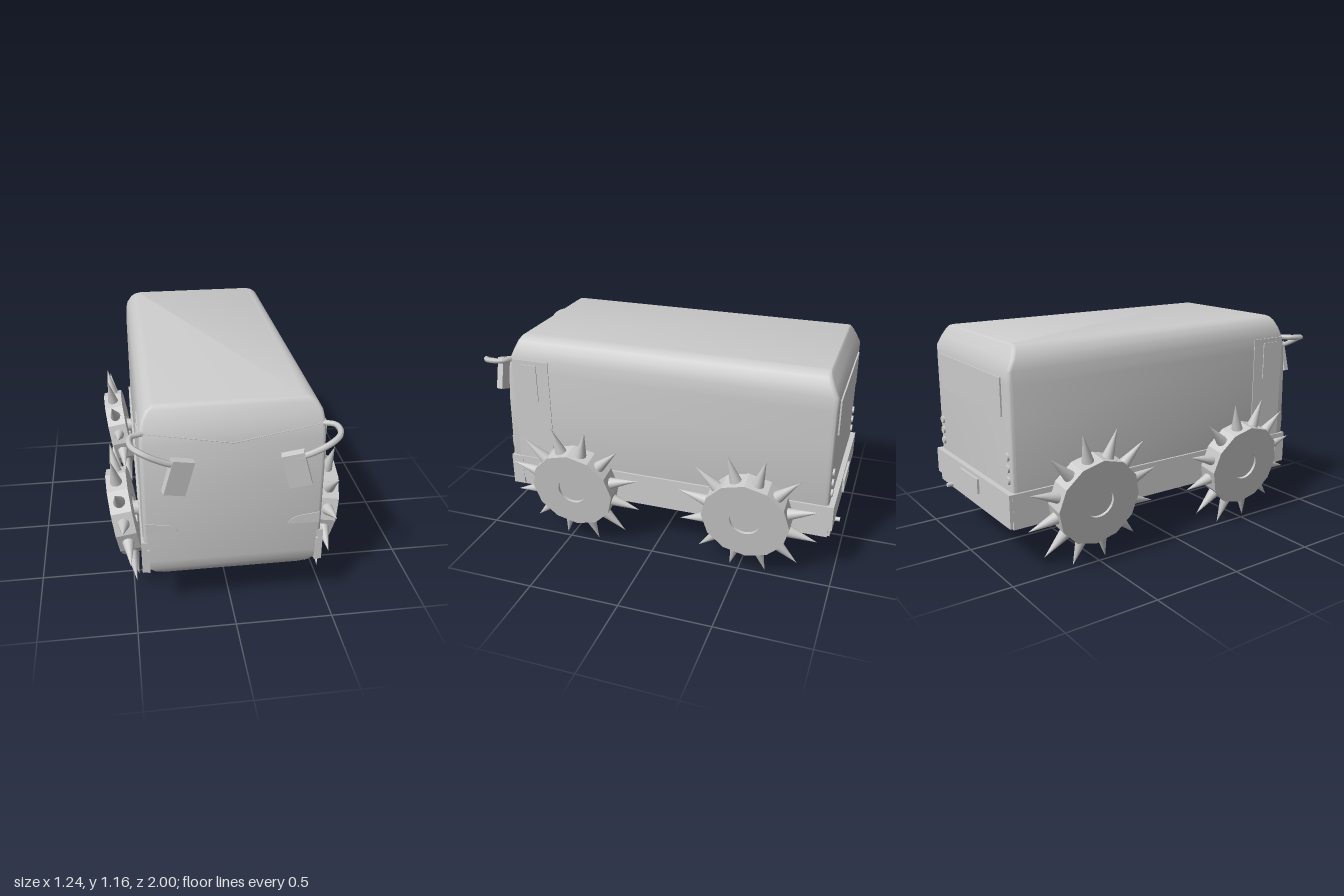
import * as THREE from 'three';
import { toCreasedNormals } from 'three/addons/utils/BufferGeometryUtils.js';

const smooth = new THREE.MeshStandardMaterial({ color: 0xcccccc });
const flat = new THREE.MeshStandardMaterial({ color: 0xcccccc, flatShading: true });

function add(parent, name, geometry, x = 0, y = 0, z = 0, material = smooth) {
  const mesh = new THREE.Mesh(geometry, material);
  mesh.name = name;
  mesh.position.set(x, y, z);
  parent.add(mesh);
  return mesh;
}

// Box given by its extents on each axis
function block(parent, name, x0, x1, y0, y1, z0, z1) {
  const g = new THREE.BoxGeometry(Math.abs(x1 - x0), y1 - y0, z1 - z0);
  return add(parent, name, g, (x0 + x1) / 2, (y0 + y1) / 2, (z0 + z1) / 2);
}

// Van shell: rounded rectangles stacked upwards [y, half width, front z, back z]
function shellGeometry() {
  const levels = [
    [0.24, 0.37, 0.83, -0.94], [0.262, 0.405, 0.85, -0.945], [0.29, 0.43, 0.862, -0.95],
    [0.34, 0.445, 0.87, -0.95], [0.8, 0.445, 0.86, -0.95], [0.98, 0.445, 0.845, -0.95],
    [1.05, 0.442, 0.83, -0.95], [1.1, 0.432, 0.808, -0.925], [1.14, 0.408, 0.792, -0.905],
    [1.158, 0.385, 0.782, -0.896], [1.165, 0.36, 0.77, -0.89],
  ];
  const corners = [[1, 1], [1, -1], [-1, -1], [-1, 1]];
  const steps = 3, r = 0.02, n = corners.length * (steps + 1);
  const pos = [], idx = [];
  for (const [y, w, zf, zb] of levels) {
    corners.forEach(([sx, sz], k) => {
      for (let i = 0; i <= steps; i++) {
        const t = (k + i / steps) * Math.PI / 2;
        pos.push(sx * (w - r) + r * Math.sin(t), y, (sz > 0 ? zf - r : zb + r) + r * Math.cos(t));
      }
    });
  }
  for (let l = 0; l < levels.length - 1; l++) {
    for (let i = 0; i < n; i++) {
      const a = l * n + i, b = l * n + (i + 1) % n;
      idx.push(a, b, b + n, a, b + n, a + n);
    }
  }
  const top = (levels.length - 1) * n;
  for (let i = 1; i < n - 1; i++) idx.push(0, i + 1, i, top, top + i, top + i + 1);
  const g = new THREE.BufferGeometry();
  g.setAttribute('position', new THREE.Float32BufferAttribute(pos, 3));
  g.setIndex(idx);
  return toCreasedNormals(g, 0.6);
}

// Twelve-sided wheel with a sunken round hub and a spike on every facet
function makeWheel() {
  const wheel = new THREE.Group();
  const outline = new THREE.Shape();
  for (let i = 0; i < 12; i++) {
    const a = i * Math.PI / 6, x = 0.235 * Math.cos(a), y = 0.235 * Math.sin(a);
    i ? outline.lineTo(x, y) : outline.moveTo(x, y);
  }
  outline.closePath();
  outline.holes.push(new THREE.Path().absarc(0, 0, 0.08, 0, Math.PI * 2, true));
  const disc = new THREE.ExtrudeGeometry(outline, { depth: 0.11, bevelEnabled: false, curveSegments: 16 });
  disc.translate(0, 0, -0.055).rotateY(Math.PI / 2);
  add(wheel, 'tyre', disc, 0, 0, 0, flat);
  add(wheel, 'hub', new THREE.CylinderGeometry(0.081, 0.081, 0.08, 32).rotateZ(Math.PI / 2));
  const cone = new THREE.ConeGeometry(0.034, 0.17, 16).translate(0, 0.3, 0);
  for (let i = 0; i < 12; i++) {
    add(wheel, 'spike', cone).rotation.x = (i + 0.5) * Math.PI / 6;
  }
  return wheel;
}

// Bent arm carrying a hanging mirror
function addMirror(parent, s) {
  const group = new THREE.Group();
  group.name = s > 0 ? 'leftMirror' : 'rightMirror';
  const path = new THREE.CatmullRomCurve3([
    [0.43, 1.04, 0.82], [0.482, 1.042, 0.85], [0.483, 1.035, 0.93],
    [0.43, 1.02, 0.982], [0.34, 0.975, 0.985], [0.27, 0.945, 0.97],
  ].map(([x, y, z]) => new THREE.Vector3(s * x, y, z)));
  add(group, 'mirrorArm', new THREE.TubeGeometry(path, 24, 0.015, 6));
  const glass = add(group, 'mirrorHousing', new THREE.BoxGeometry(0.108, 0.18, 0.04), s * 0.277, 0.882, 0.962);
  glass.rotation.set(0, s * -0.2, s * 0.27, 'ZYX');
  parent.add(group);
}

export function createModel() {
  const model = new THREE.Group();
  model.name = 'spikedVan';
  add(model, 'bodyShell', shellGeometry());

  // Windscreen top seam, dipping to the middle
  const seam = new THREE.CurvePath();
  const [a, b, c] = [[-0.44, 1.045, 0.829], [0, 0.975, 0.845], [0.44, 1.045, 0.829]]
    .map((p) => new THREE.Vector3(...p));
  seam.add(new THREE.LineCurve3(a, b));
  seam.add(new THREE.LineCurve3(b, c));
  add(model, 'windscreenSeam', new THREE.TubeGeometry(seam, 32, 0.003, 6));

  // Rear bumper, number plate panel, window and towing eye
  block(model, 'rearBumper', -0.455, 0.455, 0.315, 0.455, -0.978, -0.93);
  block(model, 'rearBumperLip', -0.435, 0.435, 0.27, 0.315, -0.968, -0.93);
  block(model, 'rearPanel', -0.11, 0.11, 0.355, 0.435, -0.99, -0.97);
  block(model, 'rearWindow', -0.36, 0.36, 0.82, 1.01, -0.958, -0.94);
  add(model, 'towingEye', new THREE.CylinderGeometry(0.012, 0.012, 0.06, 12).rotateX(Math.PI / 2), 0.28, 0.285, -0.97);

  for (const s of [1, -1]) {
    // Side skirts and front bumper corners
    block(model, 'sideSkirt', s * 0.42, s * 0.456, 0.315, 0.455, -0.96, 0.84);
    block(model, 'sill', s * 0.4, s * 0.446, 0.268, 0.315, -0.955, 0.84);
    block(model, 'bumperCorner', s * 0.42, s * 0.458, 0.275, 0.455, 0.8, 0.868);
    block(model, 'bumperFin', s * 0.42, s * 0.43, 0.28, 0.415, 0.84, 0.88);

    // Cab door and its window
    block(model, 'cabDoor', s * 0.43, s * 0.449, 0.455, 1.045, 0.6, 0.815);
    block(model, 'doorWindow', s * 0.43, s * 0.454, 0.81, 1.02, 0.67, 0.77);

    // Teardrop headlight
    const lamp = new THREE.Shape();
    lamp.moveTo(s * 0.432, 0.505);
    lamp.lineTo(s * 0.272, 0.508);
    lamp.quadraticCurveTo(s * 0.29, 0.55, s * 0.35, 0.555);
    lamp.lineTo(s * 0.432, 0.565);
    lamp.closePath();
    add(model, 'headlight', new THREE.ExtrudeGeometry(lamp, { depth: 0.015, bevelEnabled: false }), 0, 0, 0.854);

    // Column of round rear lights
    for (let i = 0; i < 3; i++) {
      const light = new THREE.CylinderGeometry(0.02, 0.022, 0.02, 20).rotateX(-Math.PI / 2);
      add(model, 'rearLight', light, s * 0.4, 0.51 + i * 0.06, -0.95);
    }

    addMirror(model, s);

    // Wheels leaning outwards at the top, with their axles
    for (const z of [0.435, -0.545]) {
      const wheel = makeWheel();
      wheel.name = z > 0 ? 'frontWheel' : 'rearWheel';
      wheel.position.set(s * 0.53, 0.37, z);
      wheel.rotation.z = -s * 0.16;
      model.add(wheel);
      const axle = new THREE.CylinderGeometry(0.04, 0.04, 0.14, 16).rotateZ(Math.PI / 2);
      add(model, 'axle', axle, s * 0.44, 0.38, z);
    }
  }
  return model;
}
